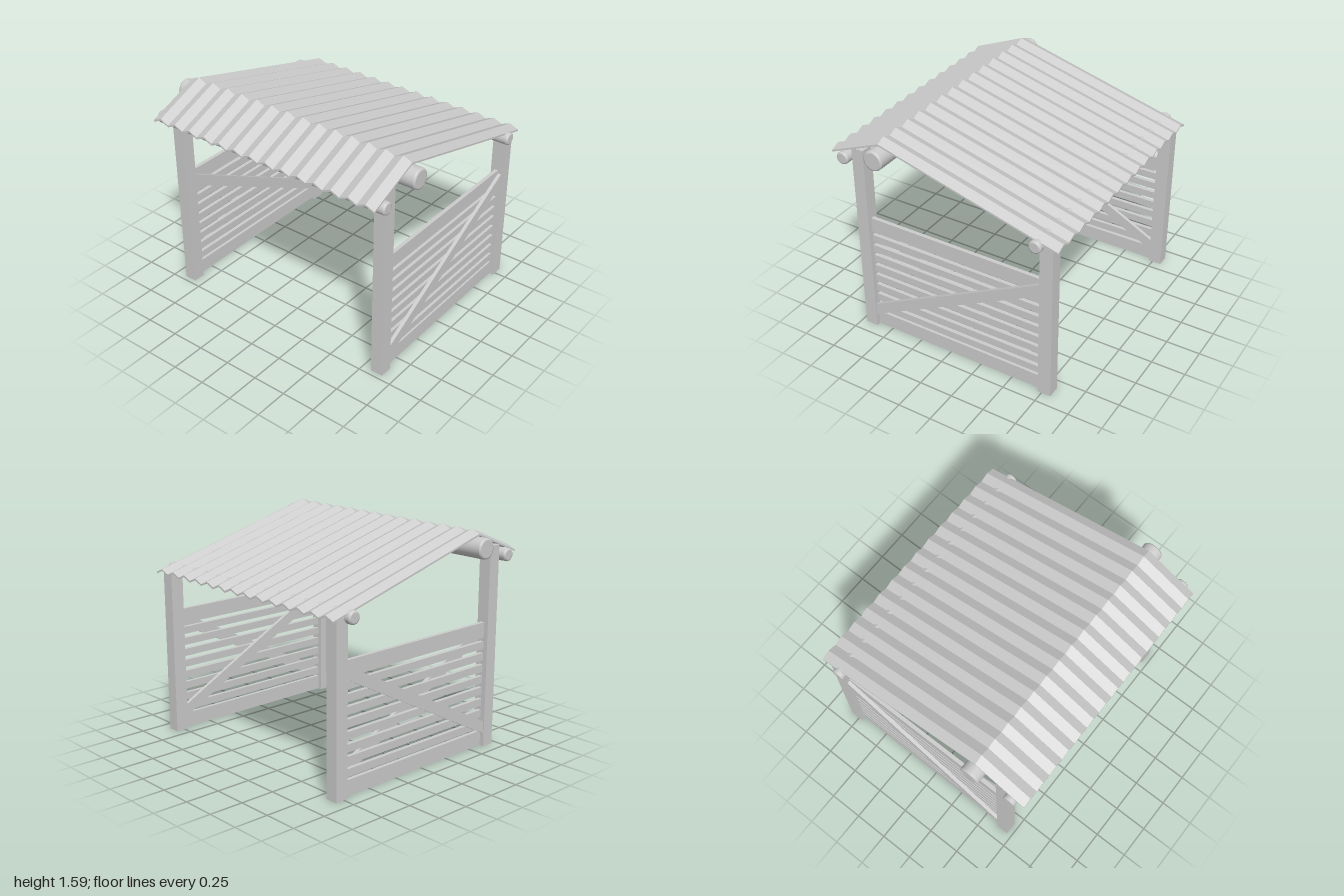
import * as THREE from 'three';

const material = new THREE.MeshStandardMaterial({ color: 0xcccccc });
const flatMaterial = new THREE.MeshStandardMaterial({ color: 0xcccccc, flatShading: true });

const FRONT = 0.62, BACK = -0.72; // inner faces of the posts
const PANEL_X = 0.865;

function add(parent, name, geometry, mat = material) {
  const mesh = new THREE.Mesh(geometry, mat);
  mesh.name = name;
  parent.add(mesh);
  return mesh;
}

// Box given by its limits on each axis
function box(parent, name, [x0, x1], [y0, y1], [z0, z1]) {
  const mesh = add(parent, name, new THREE.BoxGeometry(x1 - x0, y1 - y0, z1 - z0));
  mesh.position.set((x0 + x1) / 2, (y0 + y1) / 2, (z0 + z1) / 2);
}

// Round log along x with slightly softened ends
function log(parent, name, radius, half, y, z) {
  const b = 0.012;
  const rings = [[0, -half], [radius - b, -half], [radius - b, -half], [radius - b * 0.3, -half + b * 0.3],
    [radius, -half + b], [radius, -half + b], [radius, half - b], [radius, half - b],
    [radius - b * 0.3, half - b * 0.3], [radius - b, half], [radius - b, half], [0, half]];
  const profile = rings.map(([r, h]) => new THREE.Vector2(r, h));
  const mesh = add(parent, name, new THREE.LatheGeometry(profile, 32));
  mesh.rotation.z = -Math.PI / 2;
  mesh.position.set(0, y, z);
}

// Diagonal board with upright ends, cut flush against the posts
function brace(parent, name, x, thickness, yFront, yBack) {
  const h = 0.09;
  const shape = new THREE.Shape([
    new THREE.Vector2(-FRONT, yFront), new THREE.Vector2(-BACK, yBack),
    new THREE.Vector2(-BACK, yBack + h), new THREE.Vector2(-FRONT, yFront + h),
  ]);
  const geometry = new THREE.ExtrudeGeometry(shape, { depth: thickness, bevelEnabled: false });
  geometry.rotateY(Math.PI / 2);
  add(parent, name, geometry).position.x = x;
}

// Slatted side wall between a front and a back post
function sidePanel(side) {
  const panel = new THREE.Group();
  panel.name = side > 0 ? 'leftPanel' : 'rightPanel';
  const span = [BACK, FRONT];
  const slatX = [PANEL_X - 0.014, PANEL_X + 0.014].map((x) => x * side).sort((a, b) => a - b);
  box(panel, 'bottomBoard', slatX, [0, 0.11], span);
  box(panel, 'topBoard', slatX, [0.805, 0.915], span);
  for (let i = 0; i < 8; i++) {
    const y = 0.158 + i * 0.0845;
    box(panel, 'slat', slatX, [y - 0.027, y + 0.027], span);
  }
  const t = 0.026;
  const outer = side * (PANEL_X + 0.014 + t / 2) - t / 2;
  const inner = side * (PANEL_X - 0.014 - t / 2) - t / 2;
  brace(panel, 'outerBrace', outer, t, 0.098, 0.8);
  brace(panel, 'innerBrace', inner, t, 0.8, 0.098);
  return panel;
}

// Corrugated sheet: a zigzag strip extruded in two runs and bent over the ridge
function corrugatedRoof() {
  const folds = 28, halfWidth = 0.93, rise = 0.028, thickness = 0.013;
  const top = [], bottom = [];
  for (let i = 0; i <= folds; i++) {
    const x = -halfWidth + (2 * halfWidth * i) / folds;
    const y = i % 2 ? 0 : -rise;
    top.push(new THREE.Vector2(x, y));
    bottom.unshift(new THREE.Vector2(x, y - thickness));
  }
  const geometry = new THREE.ExtrudeGeometry(new THREE.Shape([...bottom, ...top]),
    { depth: 2, steps: 2, bevelEnabled: false });
  // back eave, ridge and front eave as [y, z]
  const stations = [[1.232, -0.863], [1.594, 0.475], [1.434, 0.863]];
  const p = geometry.attributes.position;
  for (let i = 0; i < p.count; i++) {
    const [y, z] = stations[Math.round(p.getZ(i))];
    p.setY(i, p.getY(i) + y);
    p.setZ(i, z);
  }
  geometry.computeVertexNormals();
  return geometry;
}

export function createModel() {
  const model = new THREE.Group();
  model.name = 'shelter';

  // Posts and side walls
  for (const side of [1, -1]) {
    const x = side > 0 ? [0.82, 0.912] : [-0.912, -0.82];
    box(model, 'frontPost', x, [0, 1.46], [FRONT, 0.712]);
    box(model, 'backPost', x, [0, 1.212], [-0.817, BACK]);
    model.add(sidePanel(side));
  }

  // Roof logs
  log(model, 'ridgeLog', 0.073, 1, 1.472, 0.475);
  log(model, 'frontLog', 0.046, 0.96, 1.386, 0.76);
  log(model, 'backLog', 0.046, 0.96, 1.205, -0.707);

  // Roof sheet
  add(model, 'corrugatedRoof', corrugatedRoof(), flatMaterial);
  return model;
}
